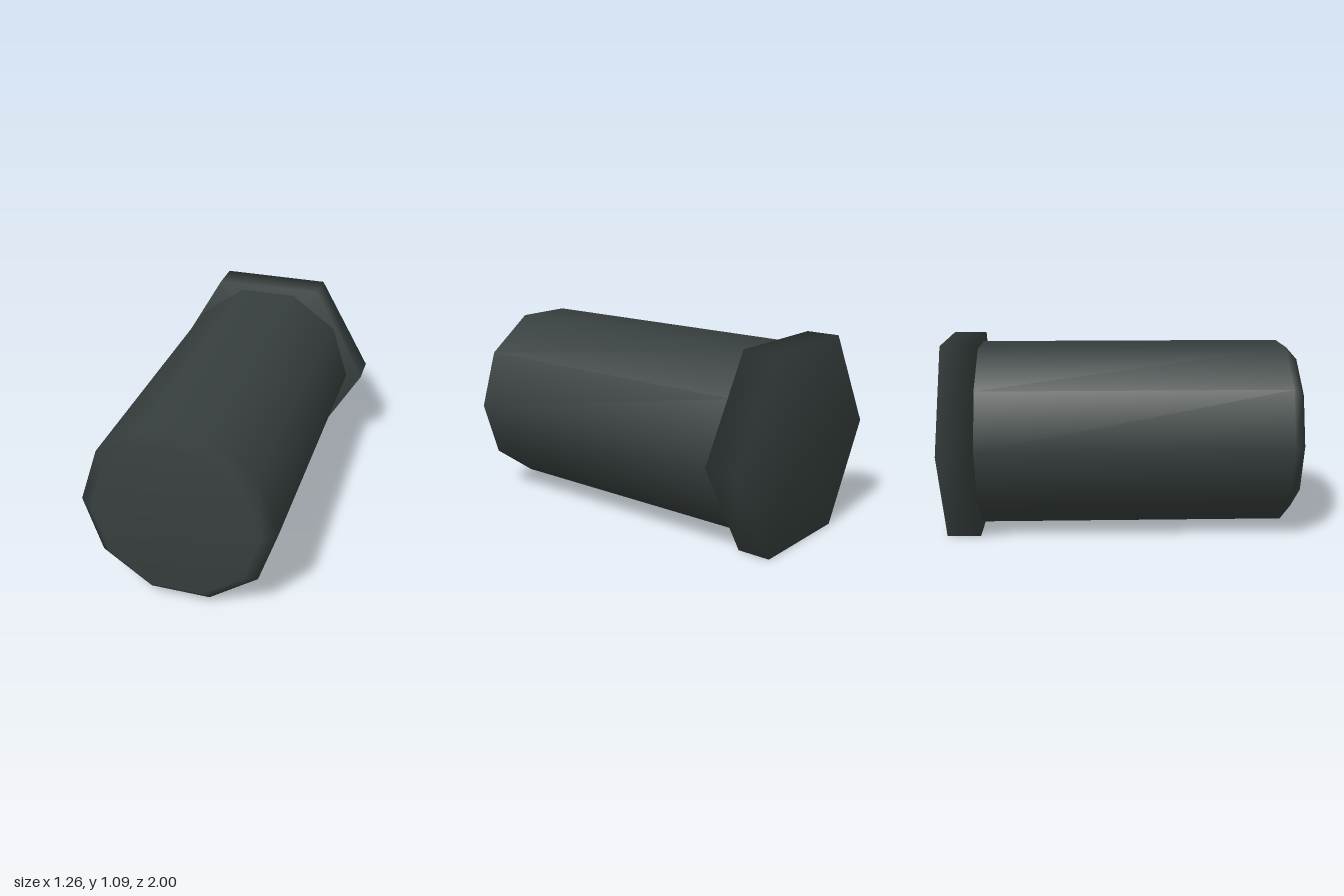
import * as THREE from 'three';

const CENTRE_Y = 0.545;

// Faceted solid of revolution along z, with soft normals; profile is [radius, z] from back to front
function turned(name, profile, sides, material) {
  const points = profile.map(([r, z]) => new THREE.Vector2(r, z));
  const geometry = new THREE.LatheGeometry(points, sides, Math.PI / 2); // corners on +x and -x
  geometry.rotateX(Math.PI / 2);
  geometry.translate(0, CENTRE_Y, 0);
  const mesh = new THREE.Mesh(geometry, material);
  mesh.name = name;
  return mesh;
}

export function createModel() {
  const group = new THREE.Group();
  group.name = 'hexBolt';

  const darkSteel = new THREE.MeshStandardMaterial({ color: 0x373f3e });
  darkSteel.name = 'darkSteel';

  // Six-sided head at the back
  group.add(turned('head', [[0, -1], [0.63, -1], [0.63, -0.81], [0, -0.81]], 6, darkSteel));

  // Ten-sided shank with a chamfered tip
  group.add(turned('shank', [[0.535, -0.82], [0.535, 0.935], [0.46, 1], [0, 1]], 10, darkSteel));

  return group;
}
